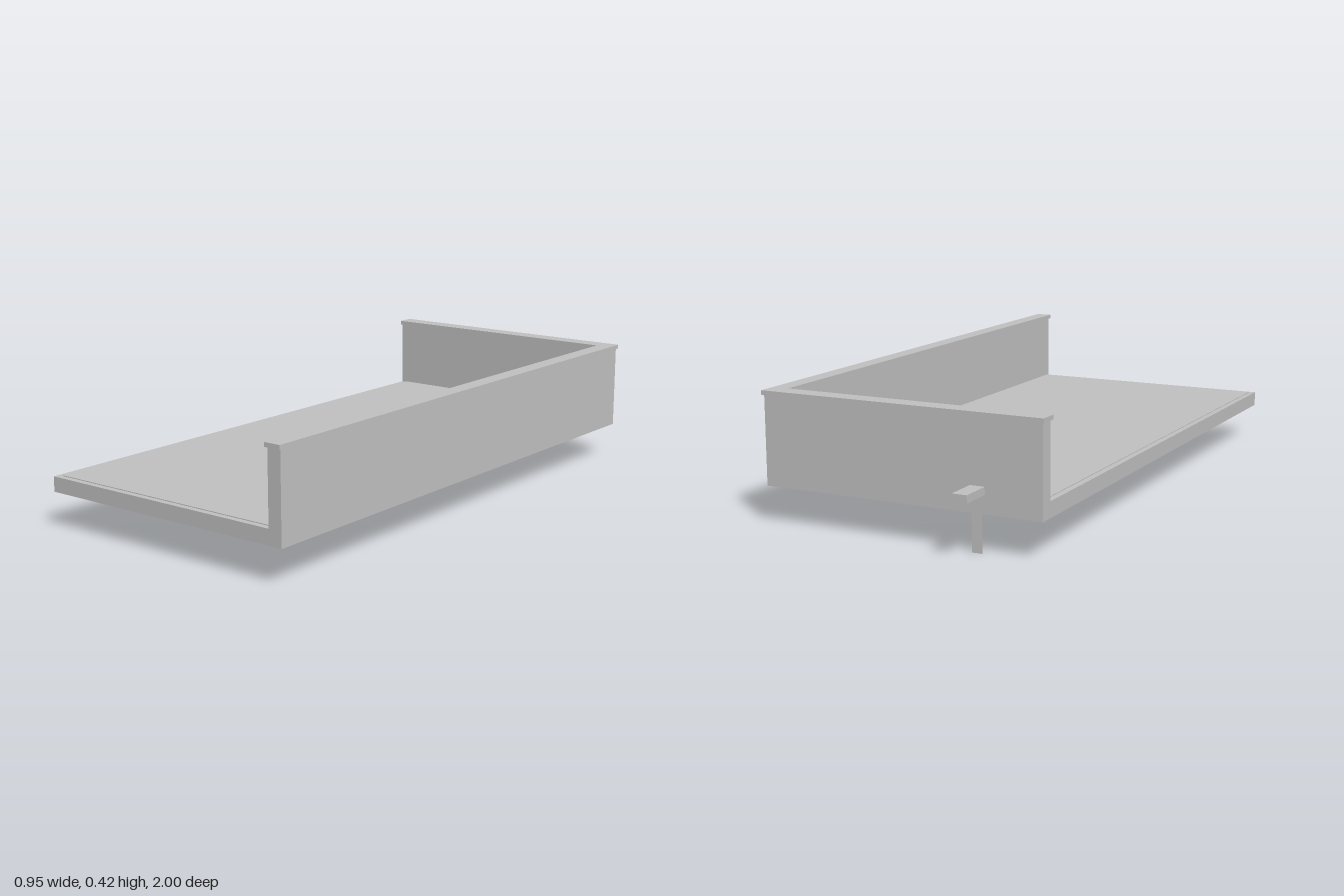
import * as THREE from 'three';

const grey = new THREE.MeshStandardMaterial({ color: 0xc0c0c0 });
grey.name = 'plain grey';
const greySheet = new THREE.MeshStandardMaterial({ color: 0xc0c0c0, side: THREE.DoubleSide });
greySheet.name = 'plain grey sheet';

// Box given by its min and max corners
function box(name, [x0, y0, z0], [x1, y1, z1]) {
  const mesh = new THREE.Mesh(new THREE.BoxGeometry(x1 - x0, y1 - y0, z1 - z0), grey);
  mesh.position.set((x0 + x1) / 2, (y0 + y1) / 2, (z0 + z1) / 2);
  mesh.name = name;
  return mesh;
}

// L-shaped slab in plan: along the back (-z) and the left side (+x)
function cornerSlab(name, { left, right, inner, back, innerBack, front, y0, y1 }) {
  const shape = new THREE.Shape([
    [right, back], [left, back], [left, front],
    [inner, front], [inner, innerBack], [right, innerBack],
  ].map(([x, z]) => new THREE.Vector2(x, -z)));
  const geometry = new THREE.ExtrudeGeometry(shape, { depth: y1 - y0, bevelEnabled: false });
  geometry.rotateX(-Math.PI / 2).translate(0, y0, 0);
  const mesh = new THREE.Mesh(geometry, grey);
  mesh.name = name;
  return mesh;
}

export function createModel() {
  const model = new THREE.Group();
  model.name = 'flatRoofWithParapet';

  // Roof slab with a slightly raised covering
  model.add(box('roofSlab', [-0.47, 0.118, -0.894], [0.47, 0.168, 0.992]));
  model.add(box('roofCovering', [-0.45, 0.167, -0.85], [0.423, 0.1705, 0.972]));

  // Parapet walls and their overhanging coping
  model.add(cornerSlab('parapet', {
    left: 0.47, right: -0.47, inner: 0.423, back: -0.894, innerBack: -0.846, front: 0.992, y0: 0.168, y1: 0.403,
  }));
  model.add(cornerSlab('coping', {
    left: 0.475, right: -0.476, inner: 0.419, back: -0.902, innerBack: -0.841, front: 1, y0: 0.403, y1: 0.417,
  }));

  // Drain: spout through the back wall and a thin downpipe strip
  model.add(box('drainSpout', [-0.286, 0.176, -1], [-0.238, 0.2, -0.89]));
  const strip = new THREE.Mesh(new THREE.PlaneGeometry(0.035, 0.12), greySheet);
  strip.position.set(-0.26, 0.06, -0.893);
  strip.name = 'downpipeStrip';
  model.add(strip);

  return model;
}
